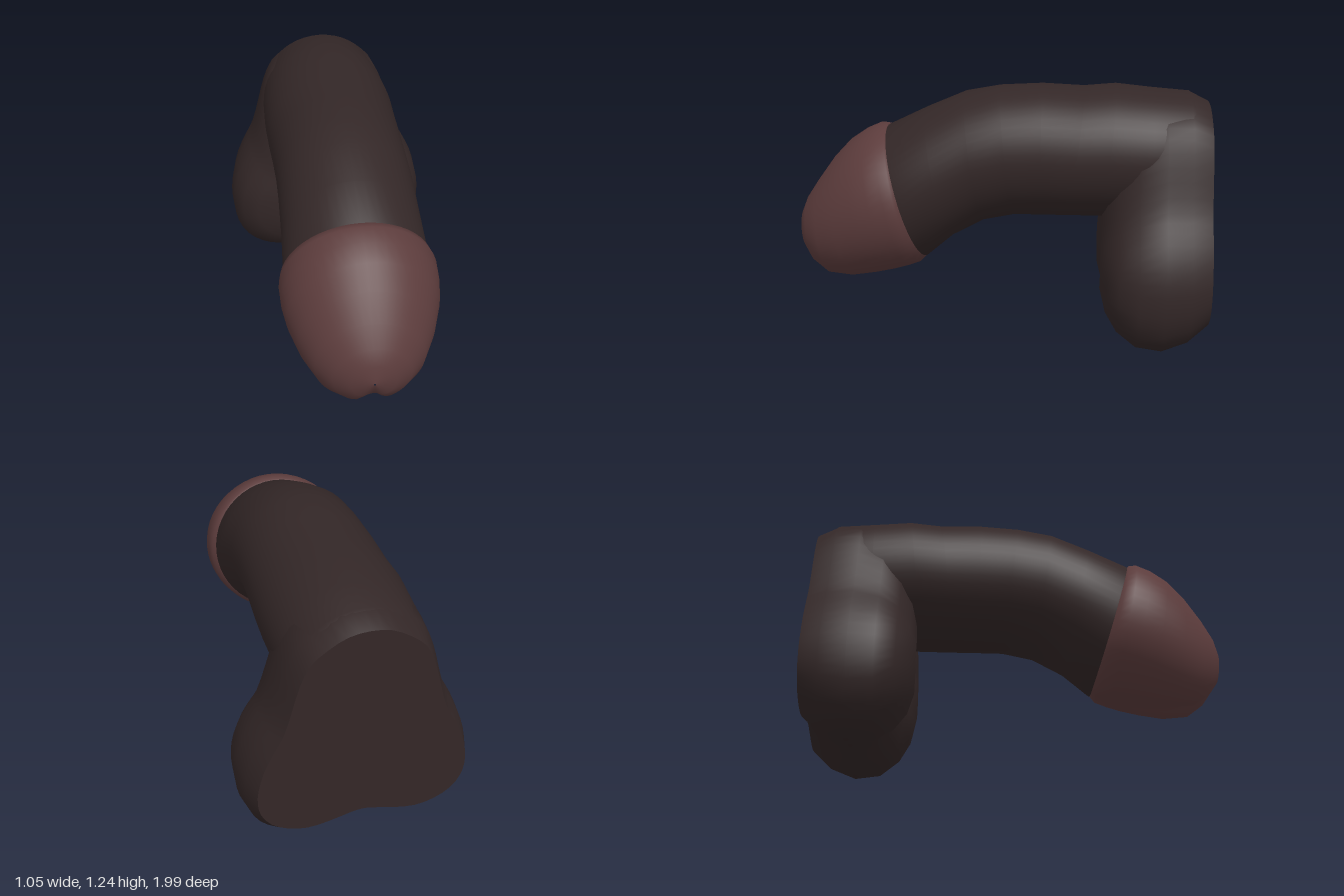
import * as THREE from 'three';

// Skin a list of closed rings (counter-clockwise seen from +z, ordered back to front)
function loft(rings, capBack) {
  const n = rings[0].length, pos = [], idx = [];
  for (const ring of rings) for (const p of ring) pos.push(p.x, p.y, p.z);
  for (let i = 0; i < rings.length - 1; i++) {
    for (let j = 0; j < n; j++) {
      const k = (j + 1) % n, a = i * n + j, b = i * n + k, c = a + n, d = b + n;
      idx.push(a, b, c, b, d, c);
    }
  }
  if (capBack) { // flat cap with its own vertices, so its edge stays sharp
    const s = pos.length / 3;
    for (const p of rings[0]) pos.push(p.x, p.y, p.z);
    pos.push(0, 0.55, rings[0][0].z);
    for (let j = 0; j < n; j++) idx.push(s + n, s + (j + 1) % n, s + j);
  }
  const g = new THREE.BufferGeometry();
  g.setAttribute('position', new THREE.Float32BufferAttribute(pos, 3));
  g.setIndex(idx);
  g.computeVertexNormals();
  return g;
}

// Elliptical ring between a top and a bottom point in the side plane
function ellipseRing([zt, yt, zb, yb, hw], groove = 0, n = 48) {
  return Array.from({ length: n }, (_, j) => {
    const a = (j / n) * Math.PI * 2, s = Math.sin(a), x = hw * Math.cos(a);
    const lift = s < 0 ? groove * -s * Math.exp(-((x / 0.045) ** 2)) : 0;
    return new THREE.Vector3(x, (yt + yb) / 2 + s * (yt - yb) / 2 + lift, (zt + zb) / 2 + s * (zt - zb) / 2);
  });
}

export function createModel() {
  const group = new THREE.Group();
  const dark = new THREE.MeshStandardMaterial({ color: 0x332727 });
  dark.name = 'dark brown';
  const rose = new THREE.MeshStandardMaterial({ color: 0x5c3c3c });
  rose.name = 'rose brown';
  const add = (name, geometry, material) => {
    const mesh = new THREE.Mesh(geometry, material);
    mesh.name = name;
    group.add(mesh);
  };

  // Curved shaft: top z, top y, bottom z, bottom y, half width
  const shaft = [
    [-0.98, 1.15, -0.98, 0.6, 0.28],
    [-0.9, 1.21, -0.88, 0.6, 0.31],
    [-0.72, 1.225, -0.7, 0.6, 0.325],
    [-0.55, 1.243, -0.48, 0.6, 0.332],
    [-0.4, 1.23, -0.33, 0.6, 0.328],
    [-0.2, 1.24, -0.2, 0.6, 0.322],
    [0, 1.23, -0.07, 0.6, 0.318],
    [0.17, 1.2, 0.08, 0.57, 0.32],
    [0.36, 1.12, 0.23, 0.49, 0.325],
    [0.55, 1.03, 0.36, 0.38, 0.335],
    [0.62, 0.95, 0.5, 0.4, 0.28],
  ];
  add('shaft', loft(shaft.map((r) => ellipseRing(r))), dark);

  // Rounded head with a rim at the back and a cleft underneath
  const head = [
    [0.545, 1.02, 0.36, 0.385, 0.325, 0],
    [0.555, 1.035, 0.39, 0.35, 0.352, 0.01],
    [0.59, 1.04, 0.45, 0.328, 0.362, 0.03],
    [0.66, 1.01, 0.52, 0.308, 0.36, 0.04],
    [0.735, 0.96, 0.61, 0.288, 0.345, 0.05],
    [0.82, 0.87, 0.73, 0.268, 0.305, 0.06],
    [0.9, 0.76, 0.85, 0.277, 0.245, 0.07],
    [0.96, 0.67, 0.925, 0.33, 0.175, 0.06],
    [0.99, 0.6, 0.975, 0.4, 0.1, 0.03],
    [1, 0.51, 1, 0.5, 0.005, 0],
  ];
  add('head', loft(head.map((r) => ellipseRing(r, r[5]))), rose);

  // Base with two lower lobes: right half of its outline, mirrored and smoothed
  const half = [
    [0.1, 1.23], [0.19, 1.18], [0.27, 1.11], [0.32, 1], [0.355, 0.87], [0.395, 0.73],
    [0.44, 0.64], [0.49, 0.53], [0.52, 0.41], [0.525, 0.3], [0.51, 0.2], [0.46, 0.1],
    [0.38, 0.035], [0.28, 0.005], [0.17, 0.025], [0.05, 0.067],
  ];
  const points = [
    [0, 0.075], ...half.slice().reverse(), [0, 1.245], ...half.map(([x, y]) => [-x, y]),
  ].map(([x, y]) => new THREE.Vector3(x, y, 0));
  const outline = new THREE.CatmullRomCurve3(points, true).getPoints(68).slice(0, -1);

  // z, then scale of the width, of the upper part and of the lower part
  const sections = [
    [-0.99, 0.9, 0.9, 0.69],
    [-0.9, 0.965, 0.955, 0.89],
    [-0.78, 1, 0.96, 1],
    [-0.66, 0.985, 0.87, 0.96],
    [-0.57, 0.9, 0.68, 0.8],
    [-0.515, 0.75, 0.5, 0.6],
    [-0.487, 0.52, 0.33, 0.36],
    [-0.48, 0.26, 0.16, 0.17],
    [-0.478, 0.005, 0.005, 0.005],
  ];
  const base = sections.map(([z, sx, up, down]) => outline.map((p) => {
    const x = p.x * sx, t = Math.max(0, (z + 0.8) / 0.32);
    const dent = 0.07 * t * Math.exp(-((x / 0.1) ** 2)); // shallow groove between the lobes
    return new THREE.Vector3(x, 0.42 + (p.y - 0.42) * (p.y > 0.42 ? up : down), z - dent);
  }));
  add('base', loft(base, true), dark);

  return group;
}
